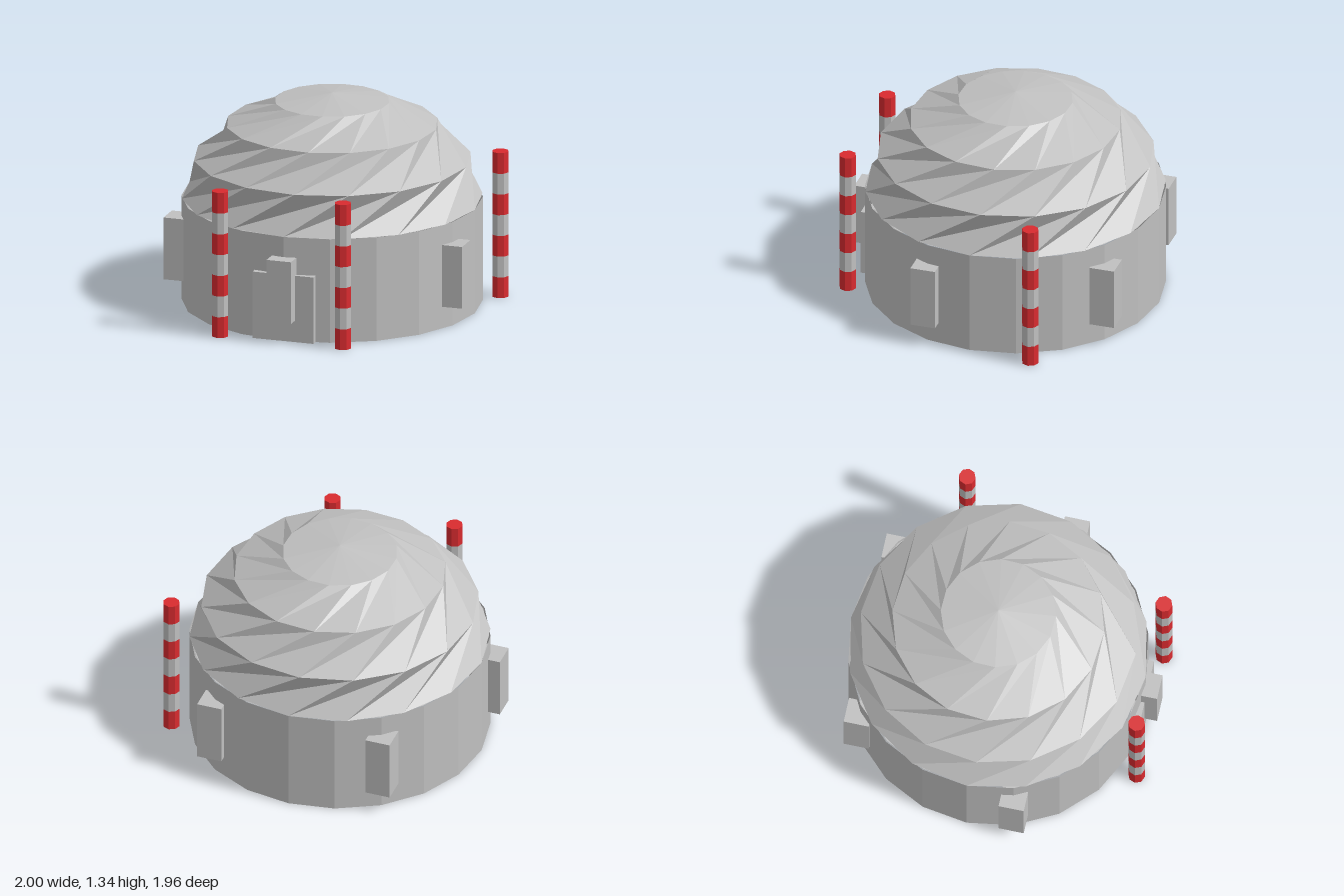
import * as THREE from 'three';

const grey = new THREE.MeshStandardMaterial({ name: 'concreteGrey', color: 0xc0c0c0, flatShading: true, side: THREE.DoubleSide });
const red = new THREE.MeshStandardMaterial({ name: 'signalRed', color: 0xd92b2f, flatShading: true });

const CX = -0.02, CZ = -0.045, R = 0.935, WALL = 0.67, DOME = 0.67;
const DEG = Math.PI / 180;

// Dome of four ring bands, each ring turned further round than the one below
function swirlDome(segments = 16, bands = 4, twist = 48 * DEG) {
  const positions = [], index = [];
  for (let k = 0; k <= bands; k++) {
    const lat = (k / bands) * Math.PI / 2;
    for (let j = 0; j < segments; j++) {
      const a = (j / segments) * Math.PI * 2 + k * twist;
      const r = R * Math.cos(lat);
      positions.push(r * Math.cos(a), DOME * Math.sin(lat), -r * Math.sin(a));
    }
  }
  for (let k = 0; k < bands; k++) {
    for (let j = 0; j < segments; j++) {
      const n = (j + 1) % segments;
      const a = k * segments + j, b = k * segments + n;
      const c = a + segments, d = b + segments;
      index.push(a, b, c);
      if (k < bands - 1) index.push(b, d, c);
    }
  }
  const g = new THREE.BufferGeometry();
  g.setAttribute('position', new THREE.Float32BufferAttribute(positions, 3));
  g.setIndex(index);
  const flat = g.toNonIndexed();
  flat.computeVertexNormals();
  return flat;
}

export function createModel() {
  const model = new THREE.Group();
  model.name = 'domedHut';
  const add = (parent, name, geometry, material, x, y, z) => {
    const mesh = new THREE.Mesh(geometry, material);
    mesh.name = name;
    mesh.position.set(x, y, z);
    parent.add(mesh);
    return mesh;
  };

  // Round wall, open underneath, with a flat ceiling
  add(model, 'wall', new THREE.CylinderGeometry(R, R, WALL, 20, 1, true), grey, CX, WALL / 2, CZ);
  const ceiling = add(model, 'ceiling', new THREE.CircleGeometry(R * 0.99, 20), grey, CX, WALL - 0.002, CZ);
  ceiling.rotation.x = Math.PI / 2;
  add(model, 'dome', swirlDome(), grey, CX, WALL, CZ);

  // Five window blocks evenly spaced round the wall, all square to the axes
  const windowBox = new THREE.BoxGeometry(0.16, 0.4, 0.16);
  for (let i = 0; i < 5; i++) {
    const a = i * 72 * DEG;
    add(model, 'window', windowBox, grey, CX + 0.945 * Math.sin(a), 0.34, CZ + 0.945 * Math.cos(a));
  }

  // Door
  add(model, 'door', new THREE.BoxGeometry(0.4, 0.43, 0.07), grey, CX, 0.215, 0.865);

  // Striped poles
  const bandHeight = 0.94 / 7;
  const band = new THREE.CylinderGeometry(0.053, 0.053, bandHeight, 8);
  for (const [x, z] of [[-0.425, 0.92], [0.38, 0.92], [0.945, -0.45]]) {
    const pole = new THREE.Group();
    pole.name = 'stripedPole';
    pole.position.set(x, 0, z);
    for (let i = 0; i < 7; i++) {
      add(pole, i % 2 ? 'greyBand' : 'redBand', band, i % 2 ? grey : red, 0, (i + 0.5) * bandHeight, 0);
    }
    model.add(pole);
  }
  return model;
}
